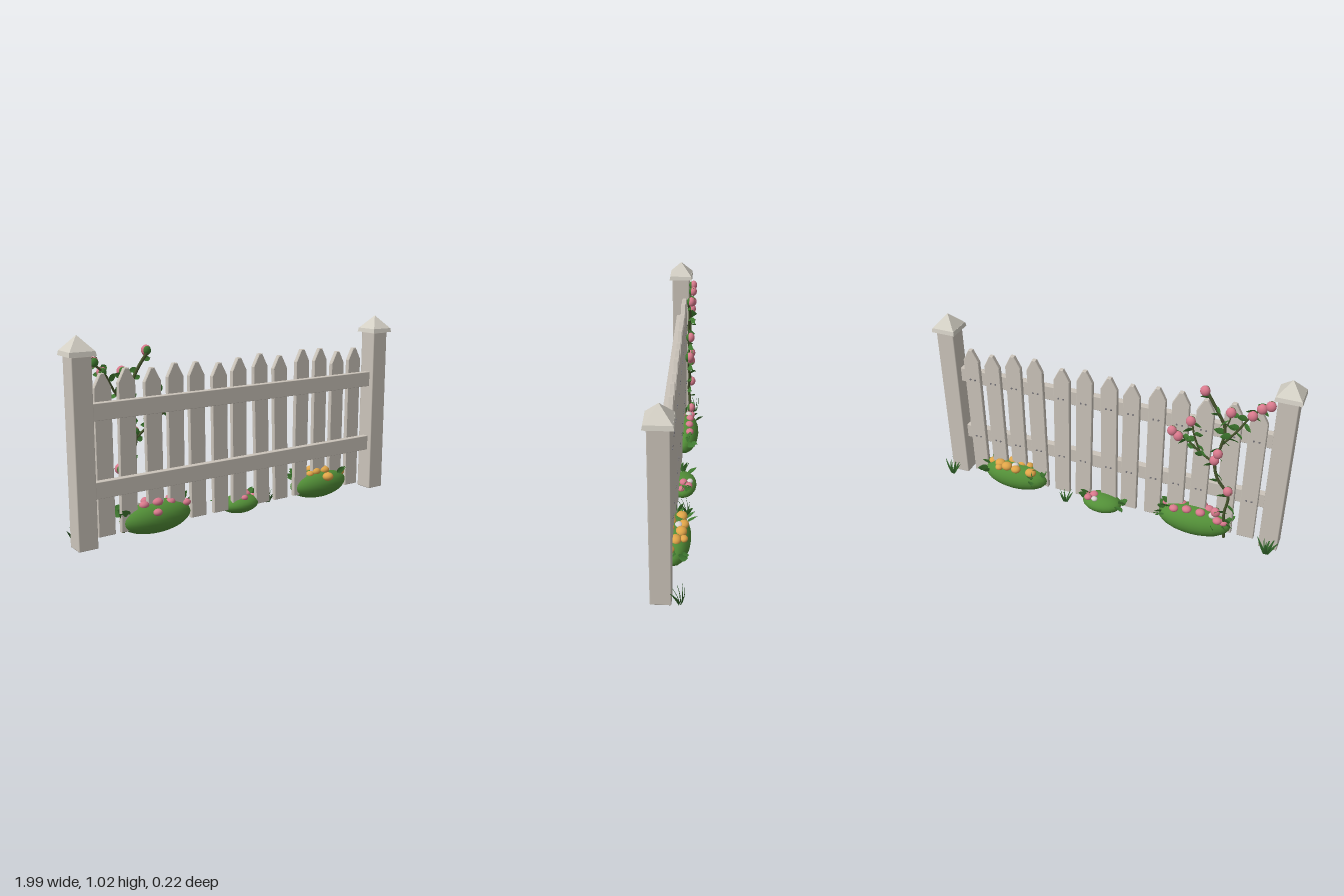
import * as THREE from 'three';
import { RoundedBoxGeometry } from 'three/addons/geometries/RoundedBoxGeometry.js';

const mat = (name, color, double) => {
  const m = new THREE.MeshStandardMaterial({ color });
  m.name = name;
  if (double) m.side = THREE.DoubleSide;
  return m;
};

export function createModel() {
  const root = new THREE.Group();
  root.name = 'gardenFence';
  const wood = mat('weathered wood', 0xcbc4ba);
  const capWood = mat('pale cap wood', 0xd4d0c5);
  const metal = mat('nail grey', 0x77757a);
  const bushGreen = mat('bush green', 0x539038);
  const leafGreen = mat('leaf green', 0x3f7a30, true);
  const grassGreen = mat('grass green', 0x2f5f28, true);
  const stemGreen = mat('stem green', 0x46552c);
  const pink = mat('rose pink', 0xd8798c);
  const orange = mat('marigold', 0xe0a548);
  const white = mat('pale petal', 0xd9d3d0);

  let seed = 7;
  const rnd = (a, b) => {
    seed = (seed * 16807) % 2147483647;
    return a + (b - a) * (seed / 2147483647);
  };
  const add = (parent, name, geo, material, x = 0, y = 0, z = 0) => {
    const m = new THREE.Mesh(geo, material);
    m.name = name;
    m.position.set(x, y, z);
    parent.add(m);
    return m;
  };
  const group = (name) => {
    const g = new THREE.Group();
    g.name = name;
    root.add(g);
    return g;
  };

  // Posts with pyramid caps
  const postGeo = new RoundedBoxGeometry(0.1, 0.917, 0.1, 1, 0.005);
  const rimGeo = new THREE.CylinderGeometry(0.063 * Math.SQRT2, 0.067 * Math.SQRT2, 0.022, 4).toNonIndexed();
  const roofGeo = new THREE.ConeGeometry(0.063 * Math.SQRT2, 0.072, 4).toNonIndexed();
  for (const g of [rimGeo, roofGeo]) {
    g.rotateY(Math.PI / 4);
    g.computeVertexNormals();
  }
  for (const x of [-0.934, 0.903]) {
    const post = group('post');
    add(post, 'postShaft', postGeo, wood, x, 0.4785, 0.041);
    add(post, 'capRim', rimGeo, capWood, x, 0.948, 0.041);
    add(post, 'capRoof', roofGeo, capWood, x, 0.994, 0.041);
  }

  // Rails
  for (const y of [0.294, 0.67])
    add(root, 'rail', new RoundedBoxGeometry(1.738, 0.083, 0.036, 1, 0.003), wood, -0.016, y, 0.048);

  // Pickets: x, top height, lean at the foot
  const pickets = [
    [-0.807, 0.842, 0], [-0.68, 0.858, -0.005], [-0.54, 0.847, 0.005], [-0.413, 0.86, 0],
    [-0.29, 0.856, 0.005], [-0.153, 0.84, 0.006], [-0.03, 0.856, 0], [0.105, 0.867, 0.02],
    [0.235, 0.847, 0.016], [0.39, 0.87, -0.006], [0.516, 0.866, 0], [0.643, 0.84, -0.005], [0.767, 0.852, -0.003],
  ];
  const nailGeo = new THREE.CylinderGeometry(0.005, 0.005, 0.005, 8).rotateX(Math.PI / 2);
  for (const [x, top, lean] of pickets) {
    const picket = group('picket');
    const s = new THREE.Shape();
    const h = 0.042;
    [[x + lean - h, 0.052], [x + lean + h, 0.052], [x + h, top - 0.068], [x + 0.008, top - 0.003],
      [x - 0.008, top - 0.003], [x - h, top - 0.068]].forEach(([a, b], i) => (i ? s.lineTo(a, b) : s.moveTo(a, b)));
    const geo = new THREE.ExtrudeGeometry(s, {
      depth: 0.02, bevelEnabled: true, bevelSize: 0.003, bevelThickness: 0.003, bevelSegments: 1,
    });
    add(picket, 'picketBoard', geo, wood, 0, 0, 0.006);
    for (const y of [0.294, 0.67])
      for (const s2 of [-0.014, 0.014])
        add(picket, 'nail', nailGeo, metal, x + lean * (1 - y) + s2, y, 0.002);
  }

  // Leaf and grass blades: a strip with a width rule, folded and curled
  const blade = (width, fold, curl) => {
    const g = new THREE.PlaneGeometry(1, 1, 2, 6).translate(0, 0.5, 0);
    const p = g.attributes.position;
    for (let i = 0; i < p.count; i++) {
      const u = p.getX(i), t = p.getY(i);
      p.setX(i, u * width(t));
      p.setZ(i, Math.abs(u) * fold + curl * t * t);
    }
    g.computeVertexNormals();
    return g;
  };
  const leafGeo = blade((t) => 0.62 * Math.pow(Math.sin(Math.PI * Math.pow(t, 0.8)), 0.8) || 0, 0.12, -0.2);
  const grassGeo = blade((t) => 0.17 * (1 - t * t), 0.04, 0.25);
  const up = new THREE.Vector3(0, 1, 0);
  const sprout = (parent, name, geo, material, p, dir, size, roll) => {
    const m = add(parent, name, geo, material, ...p);
    m.quaternion.setFromUnitVectors(up, new THREE.Vector3(...dir).normalize());
    m.rotateY(roll);
    m.scale.setScalar(size);
  };

  // Bushes: leafy mound, rim leaves and blossoms given as x, y, z, radius, material
  const ball = new THREE.SphereGeometry(1, 20, 14);
  const bush = (cx, cy, cz, rx, ry, rz, leaves, blossoms) => {
    const g = group('floweringBush');
    add(g, 'bushMound', ball, bushGreen, cx, cy, cz).scale.set(rx, ry, rz);
    for (let i = 0; i < leaves; i++) {
      const side = i % 2 ? 1 : -1;
      const c = side * rnd(0.55, 0.95), r = Math.sqrt(1 - c * c);
      const a = rnd(0.9, 2.9);
      const d = [c * 0.9, 0.25 + 0.3 * Math.sin(a), 0.7 * Math.cos(a)];
      const p = [cx + c * rx * 0.95, cy + r * ry * Math.sin(a), cz + r * rz * Math.cos(a)];
      sprout(g, 'bushLeaf', leafGeo, leafGreen, p, d, rnd(0.045, 0.065), rnd(-0.8, 0.8));
    }
    for (const [x, y, z, r, m] of blossoms)
      add(g, 'blossom', ball, m, x, y, z).scale.set(r, r * 0.75, r * 0.9);
  };
  bush(-0.527, 0.09, 0, 0.2, 0.085, 0.083, 16, [
    [-0.6, 0.165, 0.02, 0.026, pink], [-0.565, 0.168, -0.03, 0.026, pink], [-0.53, 0.172, 0.03, 0.028, pink],
    [-0.49, 0.168, -0.03, 0.026, pink], [-0.45, 0.158, 0.02, 0.026, pink], [-0.36, 0.14, 0.025, 0.024, pink],
    [-0.66, 0.145, -0.035, 0.025, pink], [-0.42, 0.158, -0.035, 0.025, pink], [-0.555, 0.135, 0.078, 0.024, pink],
    [-0.63, 0.16, -0.02, 0.022, white], [-0.69, 0.13, -0.02, 0.024, pink],
  ]);
  bush(0.0, 0.058, -0.015, 0.112, 0.05, 0.075, 9, [
    [0.0, 0.1, 0.03, 0.02, pink], [0.045, 0.102, -0.02, 0.024, pink], [0.07, 0.098, -0.05, 0.022, pink],
    [0.03, 0.1, -0.055, 0.018, white], [0.085, 0.085, -0.01, 0.02, pink],
  ]);
  bush(0.537, 0.088, 0, 0.192, 0.082, 0.082, 14, [
    [0.43, 0.148, -0.03, 0.032, orange], [0.515, 0.16, -0.045, 0.028, orange], [0.575, 0.16, -0.035, 0.032, orange],
    [0.545, 0.14, 0.077, 0.032, orange], [0.5, 0.165, 0.02, 0.03, orange], [0.56, 0.166, 0.025, 0.03, orange],
    [0.63, 0.15, -0.01, 0.032, orange], [0.46, 0.155, 0.02, 0.024, orange], [0.69, 0.135, 0.015, 0.026, orange],
    [0.53, 0.165, -0.02, 0.022, white], [0.62, 0.15, -0.05, 0.022, orange],
  ]);

  // Climbing rose: stems as tubes with leaves along them
  const rose = group('climbingRose');
  const stems = [
    [0.008, 16, [[-0.7, 0.03], [-0.69, 0.2], [-0.7, 0.31], [-0.635, 0.42], [-0.615, 0.5], [-0.64, 0.62], [-0.65, 0.72], [-0.6, 0.83], [-0.54, 0.92]]],
    [0.006, 8, [[-0.615, 0.5], [-0.53, 0.56], [-0.46, 0.61], [-0.4, 0.655]]],
    [0.005, 5, [[-0.53, 0.56], [-0.5, 0.65], [-0.48, 0.73]]],
    [0.006, 10, [[-0.64, 0.62], [-0.72, 0.74], [-0.78, 0.84], [-0.86, 0.905]]],
    [0.004, 3, [[-0.65, 0.72], [-0.67, 0.78], [-0.675, 0.83]]],
  ];
  for (const [r, leaves, pts] of stems) {
    const curve = new THREE.CatmullRomCurve3(pts.map(([x, y], i) => new THREE.Vector3(x, y, -0.018 - 0.008 * (i % 2))));
    add(rose, 'roseStem', new THREE.TubeGeometry(curve, pts.length * 5, r, 6), stemGreen);
    for (let i = 0; i < leaves; i++) {
      const p = curve.getPointAt(0.1 + 0.88 * (i + 0.5) / leaves);
      const side = i % 2 ? 1 : -1;
      sprout(rose, 'roseLeaf', leafGeo, leafGreen, [p.x, p.y, p.z],
        [side, rnd(-0.4, 0.5), rnd(-0.7, -0.05)], rnd(0.045, 0.06), rnd(-0.6, 0.6));
    }
  }
  // Rose blooms with a green calyx on the fence side
  const blooms = [[-0.54, 0.925], [-0.48, 0.735], [-0.387, 0.655], [-0.42, 0.63], [-0.63, 0.575], [-0.7, 0.355],
    [-0.647, 0.2], [-0.78, 0.838], [-0.82, 0.888], [-0.86, 0.912], [-0.675, 0.833], [-0.615, 0.53]];
  for (const [x, y] of blooms) {
    add(rose, 'roseBloom', ball, pink, x, y, -0.036).scale.set(0.025, 0.027, 0.021);
    add(rose, 'roseCalyx', ball, leafGreen, x, y, -0.024).scale.set(0.02, 0.022, 0.015);
  }

  // Grass tufts
  for (const [x, z, h, n] of [[-0.935, -0.05, 0.095, 8], [0.935, -0.05, 0.095, 8], [0.21, -0.045, 0.07, 7]]) {
    const tuft = group('grassTuft');
    for (let i = 0; i < n; i++) {
      const a = (i / n) * Math.PI * 2;
      sprout(tuft, 'grassBlade', grassGeo, grassGreen, [x + 0.006 * Math.cos(a), 0.02, z + 0.006 * Math.sin(a)],
        [0.55 * Math.cos(a), 1, 0.4 * Math.sin(a)], h * rnd(0.75, 1.05), rnd(-0.5, 0.5));
    }
  }
  return root;
}
